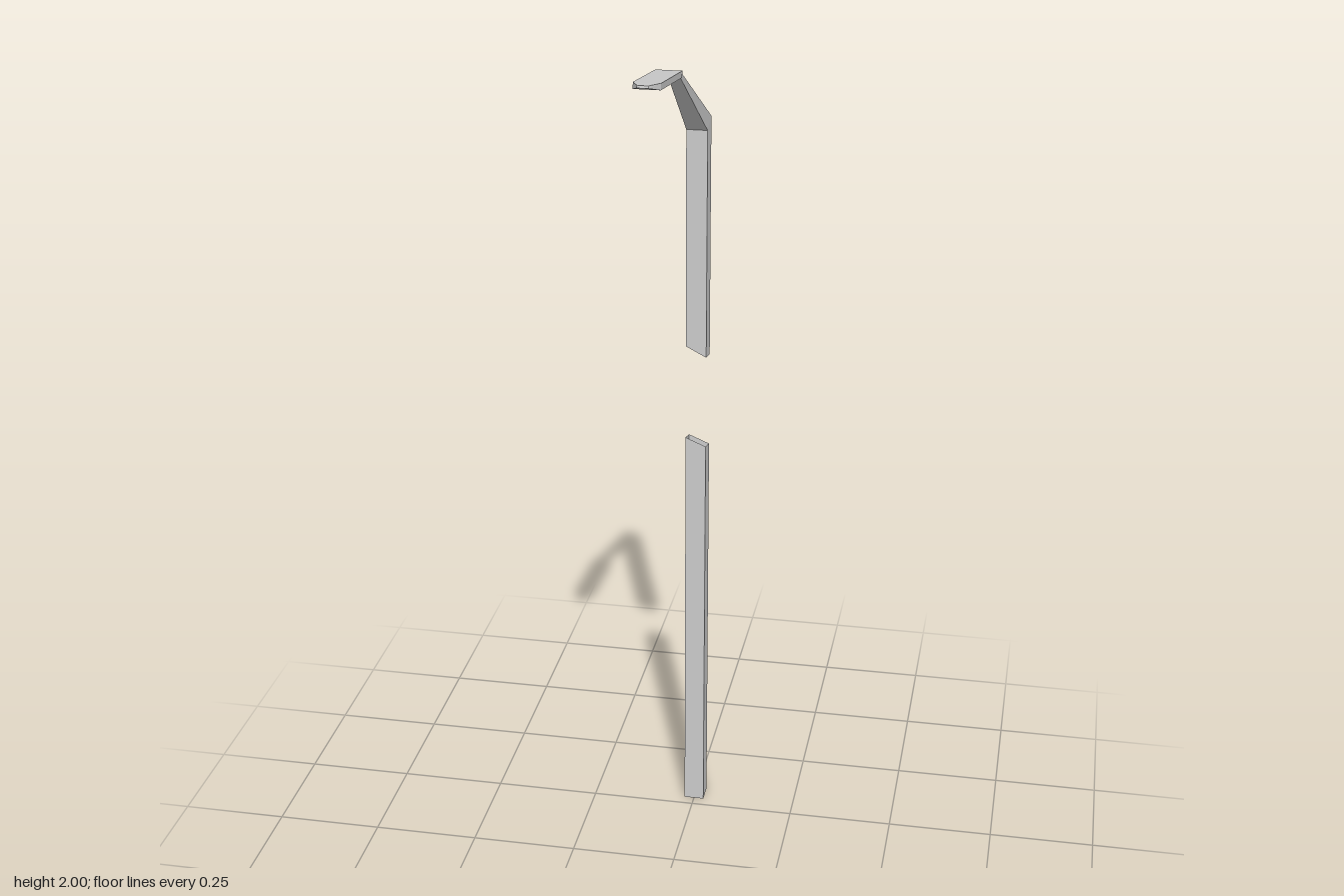
import * as THREE from 'three';

const material = new THREE.MeshStandardMaterial({
  color: 0xcccccc, flatShading: true, side: THREE.DoubleSide,
});

// Skin a series of four-cornered rings; optionally close the first or last one
function loft(name, rings, capStart, capEnd) {
  const pos = [];
  const quad = (a, b, c, d) => pos.push(...a, ...b, ...c, ...a, ...c, ...d);
  for (let i = 0; i < rings.length - 1; i++) {
    const r = rings[i], s = rings[i + 1];
    for (let k = 0; k < 4; k++) {
      const n = (k + 1) % 4;
      quad(r[k], s[k], s[n], r[n]);
    }
  }
  if (capStart) quad(...rings[0]);
  if (capEnd) quad(...[...rings[rings.length - 1]].reverse());
  const geometry = new THREE.BufferGeometry();
  geometry.setAttribute('position', new THREE.Float32BufferAttribute(pos, 3));
  geometry.computeVertexNormals();
  const mesh = new THREE.Mesh(geometry, material);
  mesh.name = name;
  return mesh;
}

const HALF = 0.024, BACK = -0.325, FRONT = -0.277;

// Ring around the square post, one height per corner
const postRing = (y0, y1, y2, y3) => [
  [-HALF, y0, BACK], [HALF, y0 === y1 ? y0 : y1, BACK], [HALF, y2, FRONT], [-HALF, y3, FRONT],
];

// Ring across the arm: upper edge then lower edge, each [z, y, half width]
const armRing = ([zt, yt, wt], [zb, yb, wb]) => [
  [-wt, yt, zt], [wt, yt, zt], [wb, yb, zb], [-wb, yb, zb],
];

export function createModel() {
  const group = new THREE.Group();
  group.name = 'brokenStreetLamp';

  // Lower post, open and slanted where it snapped
  group.add(loft('lowerPost', [
    postRing(0, 0, 0, 0),
    postRing(0.987, 0.967, 0.98, 1.0),
  ], true, false));

  // Upper post, open at its slanted lower end, mitred into the arm
  const elbow = armRing([BACK, 1.764, HALF], [FRONT, 1.744, HALF]);
  group.add(loft('upperPost', [
    postRing(1.22, 1.195, 1.205, 1.23),
    elbow,
  ], false, false));

  // Tapering arm rising to the narrow neck
  const neck = armRing([-0.01, 1.943, 0.013], [-0.008, 1.93, 0.013]);
  group.add(loft('arm', [elbow, neck], false, false));

  // Flat lamp head with a chamfered tip
  group.add(loft('lampHead', [
    neck,
    armRing([0.053, 1.962, 0.028], [0.058, 1.949, 0.028]),
    armRing([0.279, 1.995, 0.028], [0.283, 1.982, 0.028]),
    armRing([0.322, 2.0, 0.011], [0.323, 1.995, 0.012]),
  ], false, true));

  return group;
}
